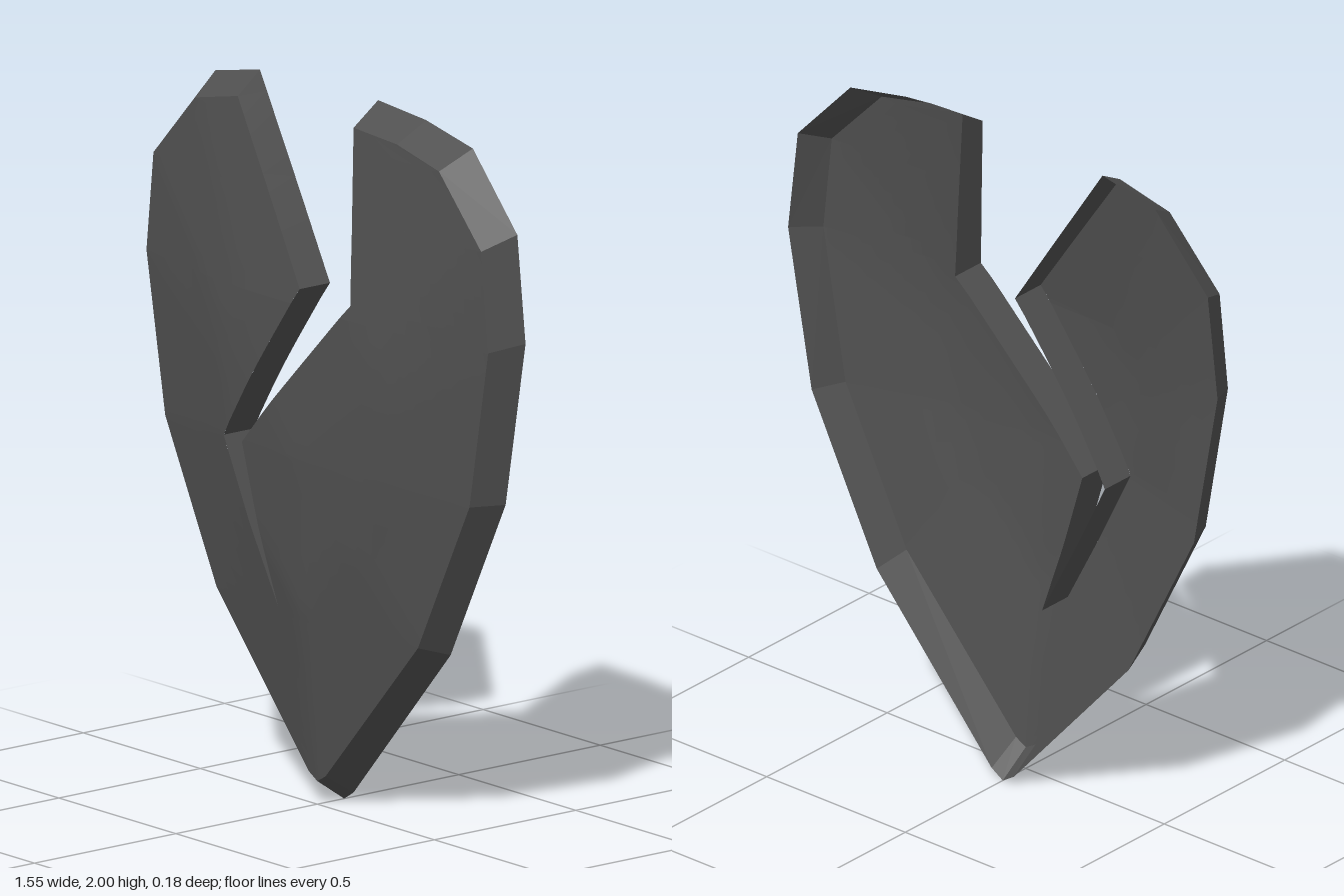
import * as THREE from 'three';
import { mergeGeometries, mergeVertices } from 'three/addons/utils/BufferGeometryUtils.js';

const RIM_Z = -0.095;
const mirror = (pts) => pts.map(([x, y]) => [-x, y]);

// Side outlines from top to bottom: front edge of the bevel, and the wider rear rim
const frontSide = [[0.52, 1.89], [0.7, 1.7], [0.73, 1.42], [0.65, 0.97], [0.43, 0.53], [0.035, 0.09], [0, 0.07]];
const rearSide = [[0.55, 1.945], [0.74, 1.74], [0.775, 1.44], [0.69, 0.97], [0.455, 0.5], [0.04, 0.03], [0, 0.005]];
const frontLeft = [[0.155, 1.94], [0.34, 1.93], ...frontSide];
const rearLeft = [[0.145, 2], [0.35, 1.985], ...rearSide];
const frontRight = [[-0.34, 1.93], ...mirror(frontSide)];
const rearRight = [[-0.36, 1.985], ...mirror(rearSide)];

// Both edges of the jagged crack, top to tip
const tip = [-0.11, 0.55];
const crackLeft = [[0.155, 1.94], [0.215, 1.46], [-0.235, 0.99], tip];
const crackRight = [[-0.34, 1.93], [0, 1.465], [-0.325, 0.99], tip];

// Closed loop: down the right side, up the left side
const outerFront = [...frontRight, ...frontLeft.slice(0, -1).reverse()];
const outerRear = [...rearRight, ...rearLeft.slice(0, -1).reverse()];

// Height of the dome: a function of the scaled distance from the centre (0, 1)
function domeZ(x, y) {
  let s = 0;
  outerFront.forEach(([ax, ay], i) => {
    const [bx, by] = outerFront[(i + 1) % outerFront.length];
    const nx = by - ay, ny = ax - bx;
    s = Math.max(s, (nx * x + ny * (y - 1)) / (nx * ax + ny * (ay - 1)));
  });
  const steps = [[0, 0.09], [0.46, 0.067], [0.7, 0.036], [1, 0]];
  for (let i = 1; i < steps.length; i++) {
    const [s0, z0] = steps[i - 1], [s1, z1] = steps[i];
    if (s <= s1) return z0 + (z1 - z0) * (s - s0) / (s1 - s0);
  }
  return 0;
}

// x on a polyline that runs downwards
function xAt(line, y) {
  for (let i = 1; i < line.length; i++) {
    const [x0, y0] = line[i - 1], [x1, y1] = line[i];
    if (y >= y1) return x0 + (x1 - x0) * Math.min(1, Math.max(0, (y0 - y) / (y0 - y1)));
  }
  return line[line.length - 1][0];
}

function makeGeometry(positions, index) {
  const geometry = new THREE.BufferGeometry();
  geometry.setAttribute('position', new THREE.Float32BufferAttribute(positions, 3));
  if (index) geometry.setIndex(index);
  return geometry;
}

// Half of the domed face: rows spanned between two polylines
function faceHalf(lineA, lineB) {
  const top = lineA[0][1], cols = 14;
  const ys = [...lineA, ...lineB].map((p) => p[1]);
  for (let i = 0; i < 40; i++) ys.push(0.07 + (1.93 - 0.07) * i / 40);
  // the seam below the tip shares its rows with the other half
  const rows = [...new Set(ys)].filter((y) => y <= top).sort((a, b) => b - a);
  const positions = [], index = [];
  rows.forEach((y, r) => {
    const a = xAt(lineA, y), b = xAt(lineB, y);
    for (let c = 0; c <= cols; c++) {
      const x = a + (b - a) * c / cols;
      positions.push(x, y, domeZ(x, y));
      if (r < rows.length - 1 && c < cols) {
        const i = r * (cols + 1) + c, j = i + cols + 1;
        index.push(i, j, j + 1, i, j + 1, i + 1);
      }
    }
  });
  return makeGeometry(positions, index);
}

// Flat-sided wall between a front and a rear edge
function wall(front, rear) {
  const positions = [];
  for (let i = 1; i < front.length; i++) {
    const a = rear[i - 1], b = rear[i], c = front[i], d = front[i - 1];
    positions.push(...a, ...b, ...c, ...a, ...c, ...d);
  }
  const geometry = makeGeometry(positions);
  geometry.computeVertexNormals();
  return geometry;
}

// Crack wall: follows the dome in front, with a rear edge that sinks to the rim
function crackWall(line, rearTop, flip) {
  const front = [], rear = [], n = 10;
  for (let i = 1; i < line.length; i++) {
    for (let k = i === 1 ? 0 : 1; k <= n; k++) {
      const t = k / n;
      const x = line[i - 1][0] + (line[i][0] - line[i - 1][0]) * t;
      const y = line[i - 1][1] + (line[i][1] - line[i - 1][1]) * t;
      const z = domeZ(x, y), flare = i === 1 ? 1 - t : 0;
      front.push([x, y, z]);
      rear.push([
        x + (rearTop[0] - line[0][0]) * flare,
        y + (rearTop[1] - line[0][1]) * flare,
        z - 0.107 + 0.012 * flare,
      ]);
    }
  }
  return flip ? wall(front.reverse(), rear.reverse()) : wall(front, rear);
}

export function createModel() {
  const group = new THREE.Group();
  group.name = 'crackedHeartPlate';
  const darkGrey = new THREE.MeshStandardMaterial({ color: 0x505050, side: THREE.DoubleSide });
  darkGrey.name = 'dark grey';

  const add = (name, geometry) => {
    const mesh = new THREE.Mesh(geometry, darkGrey);
    mesh.name = name;
    group.add(mesh);
  };

  // Domed face, smooth across the seam below the crack
  const seamEnd = [0, 0.07];
  const face = mergeVertices(mergeGeometries([
    faceHalf(frontRight, [...crackRight, seamEnd]),
    faceHalf([...crackLeft, seamEnd], frontLeft),
  ]));
  face.computeVertexNormals();
  add('domedFace', face);

  // Bevelled outer rim
  add('bevelledRim', wall(
    outerFront.map(([x, y]) => [x, y, 0]),
    outerRear.map(([x, y]) => [x, y, RIM_Z]),
  ));

  // Walls along the crack
  add('leftCrackWall', crackWall(crackLeft, rearLeft[0], false));
  add('rightCrackWall', crackWall(crackRight, rearRight[0], true));
  return group;
}
